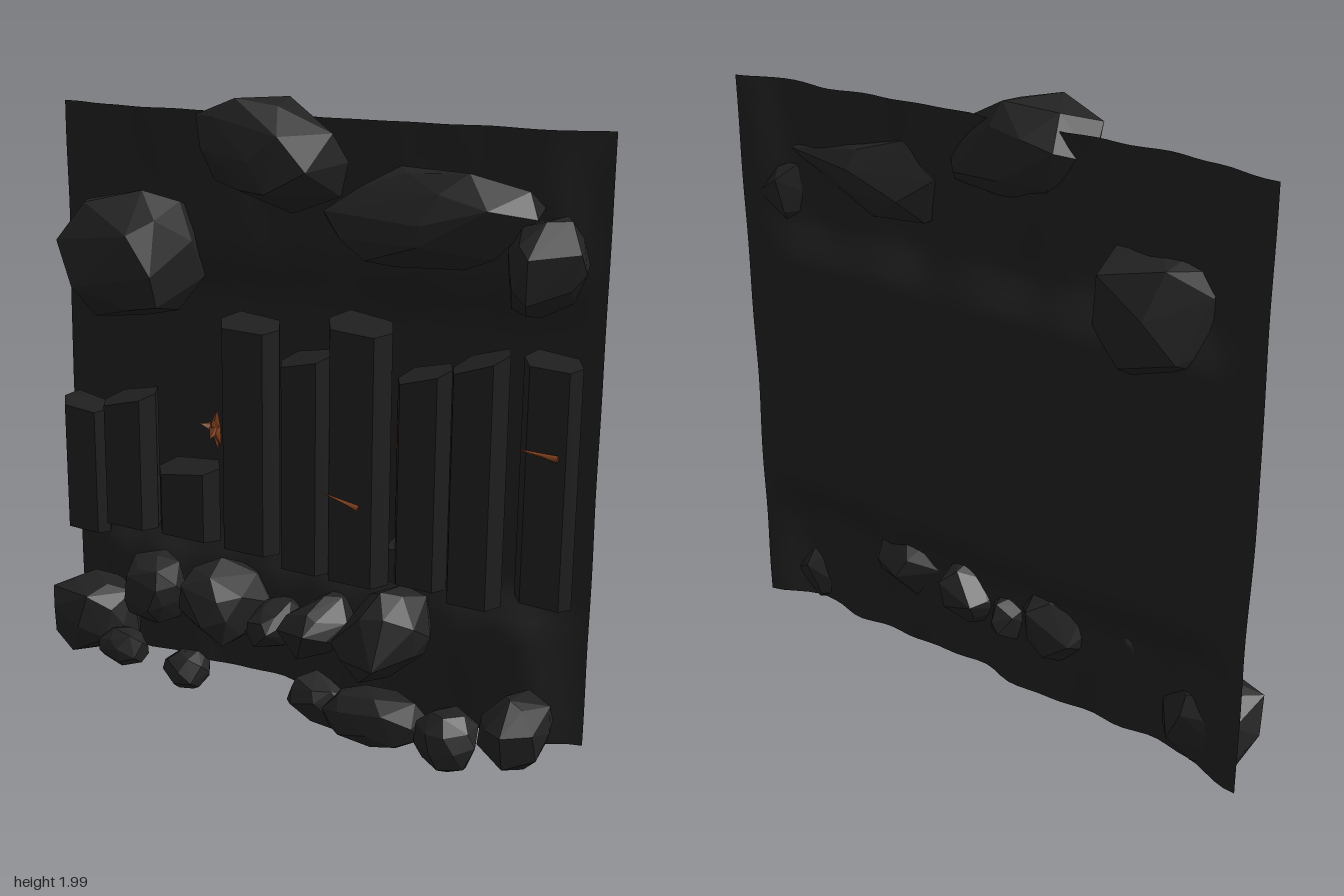
import * as THREE from 'three';
import { ConvexGeometry } from 'three/addons/geometries/ConvexGeometry.js';

const material = (name, color, extra = {}) => {
  const m = new THREE.MeshStandardMaterial({ color, ...extra });
  m.name = name;
  return m;
};

function seeded(seed) {
  let s = seed * 7919 + 17;
  return () => ((s = (s * 16807) % 2147483647) / 2147483647);
}

export function createModel() {
  const group = new THREE.Group();
  group.name = 'boardedRockWall';
  const earth = material('dark earth', 0x1f1f1f, { side: THREE.DoubleSide });
  const stone = material('dark stone', 0x222222);
  const wood = material('charred wood', 0x1f1f1f);
  const rust = material('raw wood', 0x80401f);

  const add = (name, geometry, mat, parent = group) => {
    const mesh = new THREE.Mesh(geometry, mat);
    mesh.name = name;
    parent.add(mesh);
    return mesh;
  };

  // Backdrop: a wavy sheet whose upper and lower bands bulge forward
  const sheet = new THREE.PlaneGeometry(1.935, 1.89, 48, 48);
  sheet.translate(-0.0025, 0.995, 0);
  const sp = sheet.attributes.position;
  const smooth = THREE.MathUtils.smoothstep;
  for (let i = 0; i < sp.count; i++) {
    const x = sp.getX(i), y = sp.getY(i);
    const band = smooth(y, 1.33, 1.52) + 1.1 * (1 - smooth(y, 0.38, 0.56));
    const inner = 1 - smooth(Math.abs(x), 0.76, 0.97);
    const wave = 0.009 * Math.sin(9 * x + 3 * y) + 0.006 * Math.sin(17 * x - 7 * y + 1)
      + 0.004 * Math.sin(29 * x + 13 * y);
    const middle = 0.012 * Math.sin(Math.PI * smooth(y, 0.45, 1.4));
    sp.setZ(i, -0.165 + middle + band * inner * (0.06 + 0.9 * wave) + 0.4 * wave);
  }
  sheet.computeVertexNormals();
  add('backdropSheet', sheet, earth);

  // Rock: hull of a jittered sphere (power under 1 is boxy, over 1 pointed), fitted to a box
  function rock(seed, [x0, x1, y0, y1, z0, z1], tilt = 0, stretch = 1, power = 0.85) {
    const rnd = seeded(seed), pts = [], n = 26;
    const turn = rnd() * 6.28;
    const bend = c => Math.sign(c) * Math.abs(c) ** power;
    for (let i = 0; i < n; i++) {
      const h = 1 - (2 * (i + 0.5)) / n, r = Math.sqrt(1 - h * h);
      const a = i * 2.39996 + turn + (rnd() - 0.5) * 0.7;
      const p = new THREE.Vector3(bend(r * Math.cos(a)), bend(h), r * Math.sin(a));
      p.multiplyScalar(0.86 + 0.2 * rnd());
      p.x *= stretch;
      pts.push(p.applyAxisAngle(new THREE.Vector3(0, 0, 1), tilt));
    }
    const box = new THREE.Box3().setFromPoints(pts);
    const size = box.getSize(new THREE.Vector3());
    pts.forEach(p => {
      p.sub(box.min).divide(size);
      p.set(x0 + p.x * (x1 - x0), y0 + p.y * (y1 - y0), z0 + p.z * (z1 - z0));
    });
    return new ConvexGeometry(pts);
  }

  // Each entry: [bounds, tilt, stretch, power]
  const upperRocks = [
    [[-0.835, -0.375, 1.255, 1.695, -0.24, 0.21], -0.05, 1, 0.7],
    [[-0.33, 0.17, 1.65, 2.0, -0.175, 0.14], -0.45, 1.4, 1],
    [[0.12, 0.8, 1.53, 1.82, -0.175, 0.14], 0.18, 1.6, 1.2],
    [[0.71, 0.95, 1.42, 1.71, -0.16, 0.09], 0.5, 1.2],
  ];
  const lowerRocks = [
    [[-0.96, -0.62, 0.04, 0.3, -0.15, 0.13], 0.2, 1.2],
    [[-0.71, -0.53, 0.05, 0.18, 0.0, 0.14]],
    [[-0.4, -0.24, 0.05, 0.18, 0.05, 0.19]],
    [[-0.61, -0.39, 0.21, 0.45, -0.09, 0.12], -0.4, 1.1],
    [[-0.4, -0.11, 0.2, 0.47, -0.18, 0.14], -0.3, 1.2, 0.75],
    [[-0.14, 0.01, 0.21, 0.36, -0.17, 0.09]],
    [[-0.02, 0.22, 0.2, 0.42, -0.18, 0.13], 0.5, 1.3, 0.75],
    [[0.2, 0.51, 0.2, 0.51, -0.18, 0.19], 0.6, 1.3, 0.7],
    [[0.08, 0.28, 0.05, 0.21, 0.02, 0.18], -0.4, 1.4],
    [[0.23, 0.56, 0.05, 0.22, 0.04, 0.24], 0, 1.5],
    [[0.54, 0.74, 0.02, 0.21, 0.04, 0.22], -0.3, 1.2],
    [[0.7, 0.91, 0.01, 0.26, -0.13, 0.14], 0.7, 1.2],
  ];
  for (const [name, list, seed] of [['upperRocks', upperRocks, 3], ['lowerRocks', lowerRocks, 21]]) {
    const g = new THREE.Group();
    g.name = name;
    group.add(g);
    list.forEach(([bounds, ...shape], i) => add('rock', rock(i + seed, bounds, ...shape), stone, g));
  }

  // Plank: six-sided cross-section extruded upwards, with a slanted top
  const section = [[0.12, 0], [0.82, 0], [1, 0.45], [0.86, 0.86], [0.2, 1], [0, 0.55]];
  function plank(x0, x1, y0, topL, topR, z0, z1) {
    const shape = new THREE.Shape(section.map(([u, w]) =>
      new THREE.Vector2(x0 + u * (x1 - x0), -(z0 + w * (z1 - z0)))));
    const g = new THREE.ExtrudeGeometry(shape, { depth: 1, bevelEnabled: false });
    g.rotateX(-Math.PI / 2);
    const p = g.attributes.position;
    for (let i = 0; i < p.count; i++) {
      const u = (p.getX(i) - x0) / (x1 - x0), w = (p.getZ(i) - z0) / (z1 - z0);
      p.setY(i, p.getY(i) > 0.5 ? topL + u * (topR - topL) - 0.025 * w : y0 + 0.015 * (1 - u));
    }
    g.computeVertexNormals();
    return g;
  }
  const planks = new THREE.Group();
  planks.name = 'planks';
  group.add(planks);
  [
    [-0.87, -0.7, 0.5, 0.98, 0.95, -0.03, 0.07],
    [-0.68, -0.485, 0.56, 1.0, 1.04, -0.03, 0.11],
    [-0.47, -0.24, 0.56, 0.8, 0.82, -0.03, 0.1],
    [-0.215, -0.01, 0.56, 1.33, 1.31, -0.03, 0.11],
    [0.0, 0.17, 0.53, 1.22, 1.25, -0.03, 0.1],
    [0.18, 0.385, 0.54, 1.38, 1.35, -0.03, 0.13],
    [0.405, 0.575, 0.56, 1.22, 1.26, -0.03, 0.1],
    [0.59, 0.76, 0.55, 1.28, 1.33, -0.03, 0.13],
    [0.79, 0.965, 0.57, 1.33, 1.31, -0.04, 0.06],
    [0.37, 0.42, 0.54, 0.68, 0.68, -0.03, 0.04],
  ].forEach(a => add('plank', plank(...a), wood, planks));

  // Raw wood showing in the gaps between planks
  [
    [-0.71, -0.67, 0.67, 0.77], [-0.49, -0.465, 0.57, 0.63], [0.162, 0.182, 0.62, 1.02],
    [0.38, 0.41, 0.68, 0.86], [0.38, 0.41, 0.92, 1.12], [0.572, 0.592, 0.6, 0.8],
  ].forEach(([x0, x1, y0, y1]) => {
    const g = new THREE.BoxGeometry(x1 - x0, y1 - y0, 0.02);
    add('gapStrip', g.translate((x0 + x1) / 2, (y0 + y1) / 2, -0.015), rust);
  });

  // Splinters: thin spikes from a base point to a tip
  function splinter(from, to, radius) {
    const a = new THREE.Vector3(...from), d = new THREE.Vector3(...to).sub(a);
    const g = new THREE.ConeGeometry(radius, d.length(), 4);
    const mesh = add('splinter', g, rust);
    mesh.position.copy(a).addScaledVector(d, 0.5);
    mesh.quaternion.setFromUnitVectors(new THREE.Vector3(0, 1, 0), d.normalize());
  }
  [[-0.18, 1.045, 0.13], [-0.14, 0.94, 0.17], [-0.16, 0.92, 0.16], [-0.175, 0.96, 0.185],
    [-0.19, 1.01, 0.15], [-0.255, 0.985, 0.12]]
    .forEach(tip => splinter([-0.22, 0.965, 0.08], tip, 0.022));
  splinter([0.325, 0.808, 0.135], [0.205, 0.845, 0.15], 0.011);
  splinter([0.92, 1.04, 0.056], [0.79, 1.055, 0.064], 0.011);

  return group;
}
